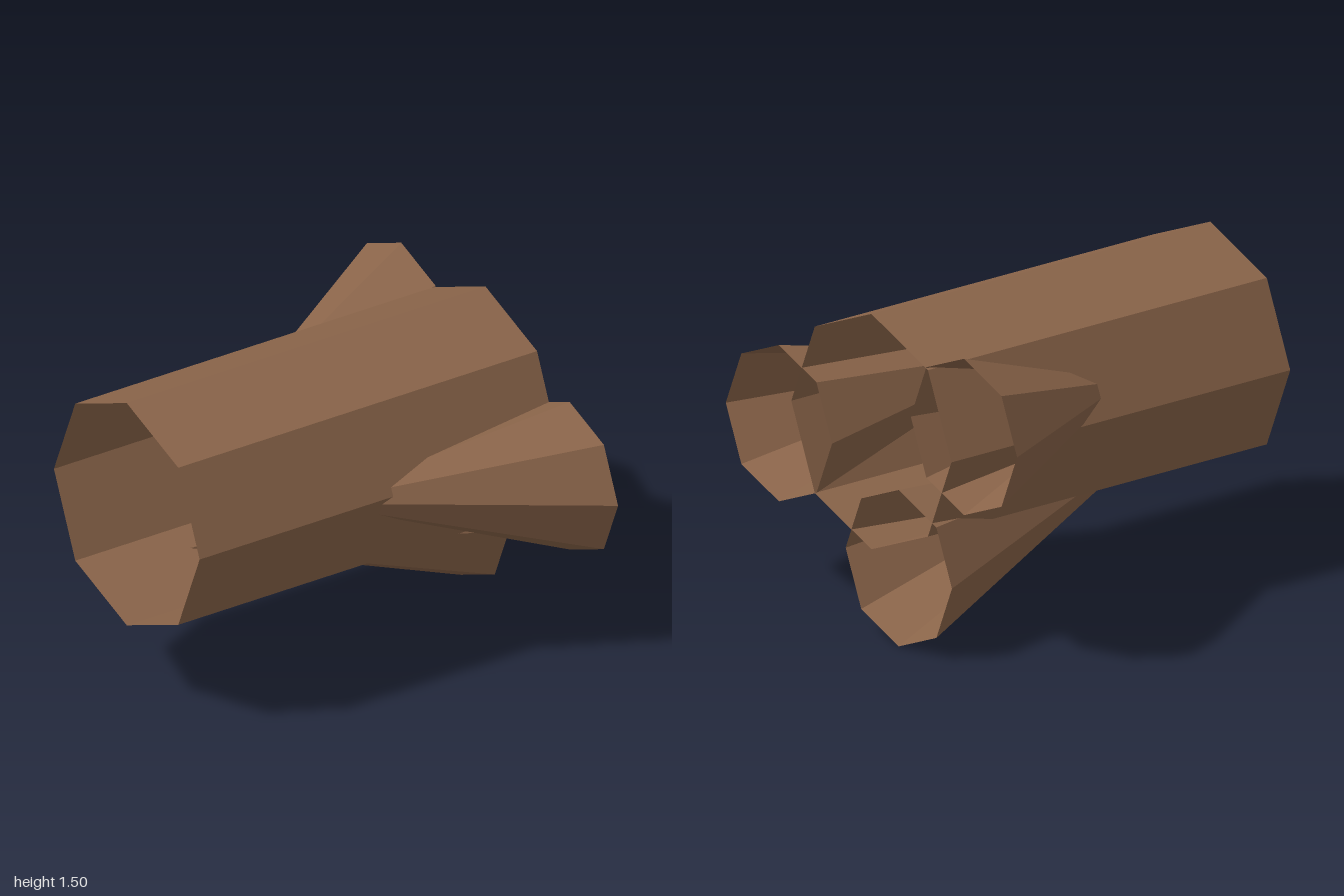
import * as THREE from 'three';

const SIDES = 8;
const BACK = -0.975, FRONT = 0.975;

// Eight-sided open shell joining a ring at the back to a ring (or a point) at the front
function openShell(back, front) {
  const ring = ({ x, y, z, r }) => Array.from({ length: SIDES }, (_, i) => {
    const a = (i / SIDES) * Math.PI * 2;
    return [x + Math.cos(a) * r, y + Math.sin(a) * r, z];
  });
  const b = ring(back), f = ring(front), pos = [];
  for (let i = 0; i < SIDES; i++) {
    const j = (i + 1) % SIDES;
    pos.push(...b[i], ...b[j], ...f[i]);
    if (front.r > 0) pos.push(...b[j], ...f[j], ...f[i]);
  }
  const geometry = new THREE.BufferGeometry();
  geometry.setAttribute('position', new THREE.Float32BufferAttribute(pos, 3));
  geometry.computeVertexNormals();
  return geometry;
}

export function createModel() {
  const group = new THREE.Group();
  group.name = 'hollowLog';

  const bark = new THREE.MeshStandardMaterial({ color: 0x8b654a });
  bark.name = 'brown bark';
  bark.flatShading = true;
  bark.side = THREE.DoubleSide;

  const add = (name, geometry) => {
    const mesh = new THREE.Mesh(geometry, bark);
    mesh.name = name;
    group.add(mesh);
  };

  // Open trunk lying along z
  const trunk = { x: 0, y: 0.953, r: 0.548 };
  add('trunk', openShell({ ...trunk, z: BACK }, { ...trunk, z: FRONT }));

  // Hollow conical roots flaring out at the back: base centre, then tip
  const roots = [
    ['rightRoot', [-0.634, 1.094], [-0.356, 1.027, 0.2]],
    ['leftRoot', [0.633, 0.826], [0.393, 0.957, 0.27]],
    ['bottomRoot', [-0.188, 0.366], [-0.115, 0.614, 0.55]],
  ];
  for (const [name, [bx, by], [tx, ty, tz]] of roots) {
    add(name, openShell({ x: bx, y: by, z: BACK, r: 0.364 }, { x: tx, y: ty, z: tz, r: 0 }));
  }

  return group;
}
